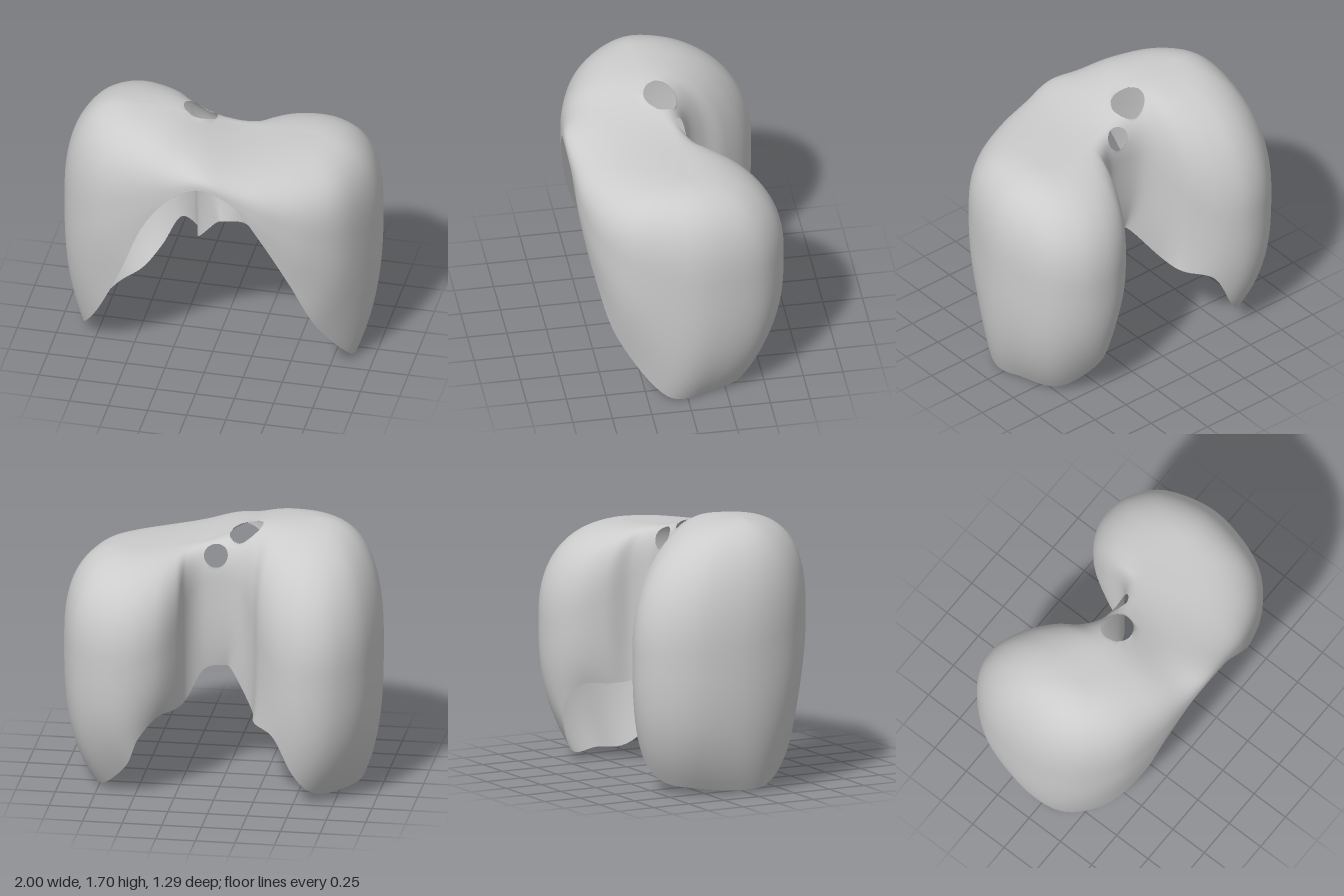
import * as THREE from 'three';

// Stations run round the outline from front centre, to the left side, back, right side.
// Lower free edge: x, y, z
const RIM = [
  0, 1.435, .635, .21, 1.33, .625, .38, 1.08, .6, .55, .74, .53, .7, .37, .41, .865, .02, .13, .83, .01, -.15,
  .72, .02, -.37, .55, .2, -.53, .47, .39, -.57, .36, .52, -.5, .26, .53, -.35, .21, .56, -.22, .12, .72, -.13,
  0, .74, -.09, -.06, .71, -.11, -.2, .51, -.24, -.24, .48, -.4, -.38, .44, -.54, -.5, .21, -.55, -.61, .07, -.48,
  -.74, .03, -.33, -.86, .01, 0, -.83, .07, .2, -.7, .31, .4, -.53, .69, .53, -.38, 1.07, .59, -.2, 1.32, .62,
];
// Widest line of the wall, where the dome begins: x, y, z
const SHOULDER = [
  0, 1.43, .64, .21, 1.34, .625, .43, 1.22, .605, .68, 1.08, .52, .87, 1, .35, .985, .9, .05, .99, .9, -.2,
  .9, .9, -.47, .72, .9, -.62, .52, .9, -.645, .35, .95, -.56, .25, 1.05, -.4, .22, 1.18, -.24, .14, 1.28, -.15,
  0, 1.3, -.135, -.12, 1.25, -.17, -.21, 1.1, -.28, -.28, 1, -.43, -.42, .9, -.58, -.6, .9, -.645, -.78, .9, -.59,
  -.93, .9, -.4, -.995, .9, -.1, -.97, .95, .15, -.87, 1, .35, -.68, 1.08, .51, -.42, 1.22, .59, -.2, 1.34, .62,
];
// Where each station meets the crest: x
const CREST = [
  0, .12, .28, .42, .5, .55, .55, .53, .5, .46, .4, .32, .22, .1,
  0, -.1, -.25, -.36, -.44, -.5, -.53, -.55, -.56, -.55, -.5, -.42, -.28, -.12,
];

const loop = (pts) => new THREE.CatmullRomCurve3(pts, true, 'catmullrom', 0.5);
const triples = (a) => Array.from({ length: a.length / 3 }, (_, i) => new THREE.Vector3().fromArray(a, i * 3));

// Curved crest line joining the tall right dome to the lower left dome
const crestPoint = (x) => new THREE.Vector3(
  x,
  1.6 - 0.088 * Math.tanh((x + 0.07) / 0.2) - 0.04 * Math.max(x, 0) ** 2,
  0.03 - 0.08 * Math.tanh(x / 0.25)
);

// Round openings through the sheet
const HOLES = [
  { c: new THREE.Vector3(-.13, 1.59, .01), axis: new THREE.Vector3(0, 1, 0), r: .105 },
  { c: new THREE.Vector3(.045, 1.48, -.12), axis: new THREE.Vector3(0, .5, -.866), r: .075 },
];

// Pushes a vertex out to the edge of an opening; true if it lay inside one
function clearHole(v) {
  for (const { c, axis, r } of HOLES) {
    const d = v.clone().sub(c);
    if (d.length() > 0.2) continue;
    d.addScaledVector(axis, -d.dot(axis));
    const len = d.length();
    if (len < r) {
      v.addScaledVector(d, r / Math.max(len, 1e-4) - 1);
      return true;
    }
  }
  return false;
}

function sheetGeometry() {
  const rim = loop(triples(RIM));
  const shoulder = loop(triples(SHOULDER));
  const crest = loop(CREST.map((x) => new THREE.Vector3(x, 0, 0)));
  const cols = CREST.length * 8, wall = 16, dome = 36, rows = wall + dome;
  const pos = [], inside = [], index = [];

  for (let i = 0; i < cols; i++) {
    const t = i / cols;
    const R = rim.getPoint(t), W = shoulder.getPoint(t), S = crestPoint(crest.getPoint(t).x);
    // the dome is squarer at the front and left, rounder at the back and right
    const e = 2 / (2.6 + 0.55 * W.z + 0.2 * W.x);
    for (let j = 0; j <= rows; j++) {
      const v = new THREE.Vector3();
      if (j < wall) {
        // side wall, curling in near its free edge
        const u = j / wall;
        v.lerpVectors(R, W, 1 - (1 - u) ** 3);
        v.y = R.y + (W.y - R.y) * u;
      } else {
        // superelliptic dome up to the crest
        const a = (j - wall) / dome * Math.PI / 2;
        v.lerpVectors(S, W, Math.pow(Math.max(Math.cos(a), 0), e));
        v.y = W.y + (S.y - W.y) * Math.pow(Math.sin(a), e);
      }
      inside.push(clearHole(v));
      pos.push(v.x, v.y, v.z);
    }
  }

  const tri = (...t) => { if (!t.every((k) => inside[k])) index.push(...t); };
  for (let i = 0; i < cols; i++) {
    for (let j = 0; j < rows; j++) {
      const a = i * (rows + 1) + j, b = ((i + 1) % cols) * (rows + 1) + j;
      tri(a, b, b + 1);
      tri(a, b + 1, a + 1);
    }
  }
  const g = new THREE.BufferGeometry();
  g.setAttribute('position', new THREE.Float32BufferAttribute(pos, 3));
  g.setIndex(index);
  g.computeVertexNormals();
  return g;
}

export function createModel() {
  const group = new THREE.Group();
  group.name = 'diaphragm';
  const sheet = new THREE.Mesh(
    sheetGeometry(),
    new THREE.MeshStandardMaterial({ color: 0xcccccc, side: THREE.DoubleSide })
  );
  sheet.name = 'domedMuscleSheet';
  group.add(sheet);
  return group;
}
